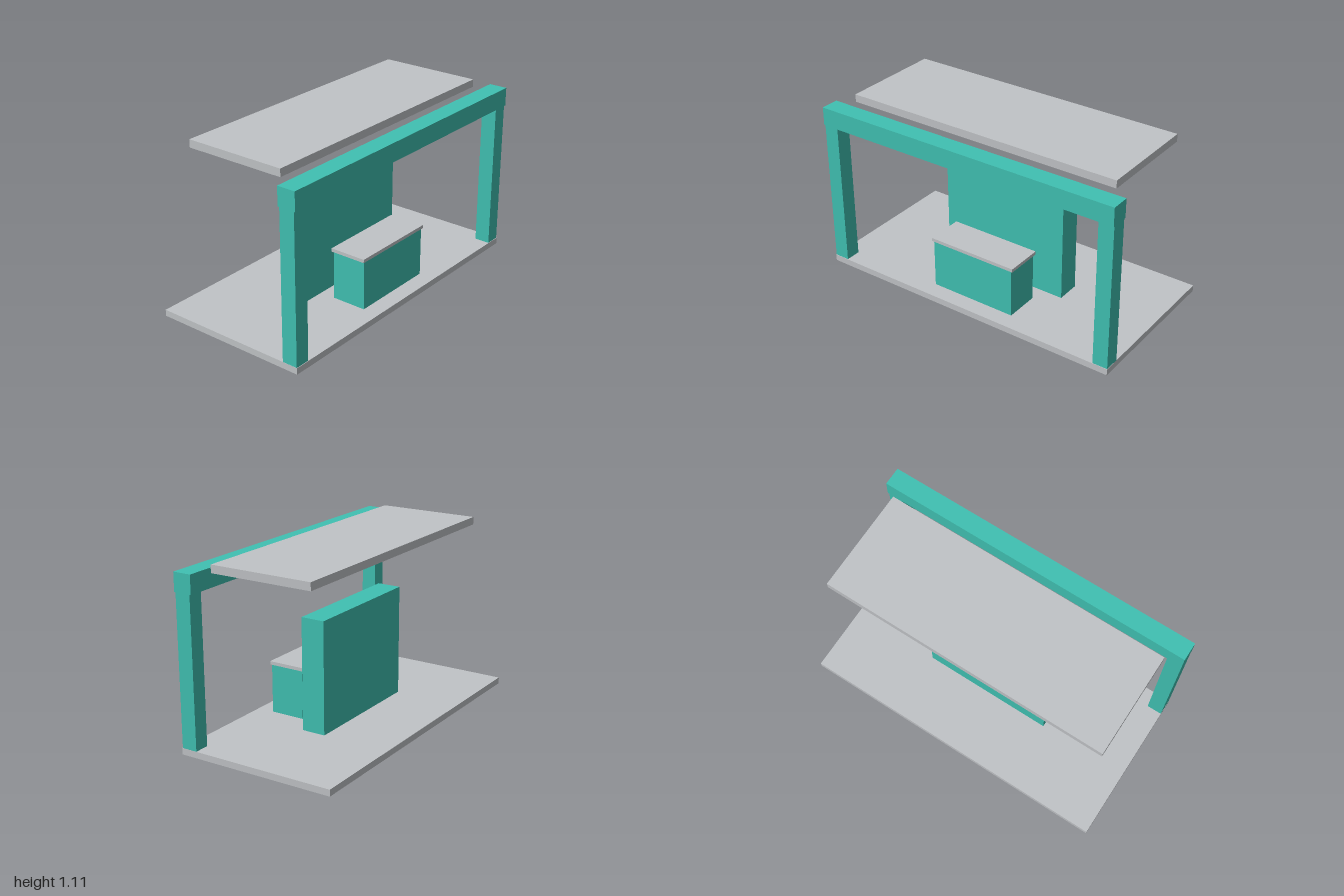
import * as THREE from 'three';

export function createModel() {
  const group = new THREE.Group();
  const teal = new THREE.MeshStandardMaterial({ color: 0x40c1b2 });
  teal.name = 'teal';
  const grey = new THREE.MeshStandardMaterial({ color: 0xc1c4c7 });
  grey.name = 'lightGrey';

  // Box given by its limits on each axis
  function box(name, material, [x0, x1], [y0, y1], [z0, z1]) {
    const mesh = new THREE.Mesh(new THREE.BoxGeometry(x1 - x0, y1 - y0, z1 - z0), material);
    mesh.position.set((x0 + x1) / 2, (y0 + y1) / 2, (z0 + z1) / 2);
    mesh.name = name;
    group.add(mesh);
  }

  // Floor and floating canopy
  box('floor', grey, [-1, 1], [0, 0.04], [-0.502, 0.498]);
  box('canopy', grey, [-0.902, 0.902], [1.065, 1.113], [-0.328, 0.323]);

  // Front gateway: two posts and a crossbeam
  box('leftPost', teal, [0.904, 0.999], [0.001, 0.956], [0.397, 0.495]);
  box('rightPost', teal, [-0.999, -0.904], [0.001, 0.956], [0.397, 0.495]);
  box('crossbeam', teal, [-1, 1], [0.955, 1.07], [0.387, 0.503]);

  // Back wall panel
  box('wallPanel', teal, [-0.42, 0.42], [0.001, 0.733], [-0.077, 0.073]);

  // Counter with overhanging top
  box('counter', teal, [-0.281, 0.281], [0.001, 0.348], [0.172, 0.392]);
  box('counterTop', grey, [-0.292, 0.292], [0.347, 0.368], [0.162, 0.397]);

  return group;
}
